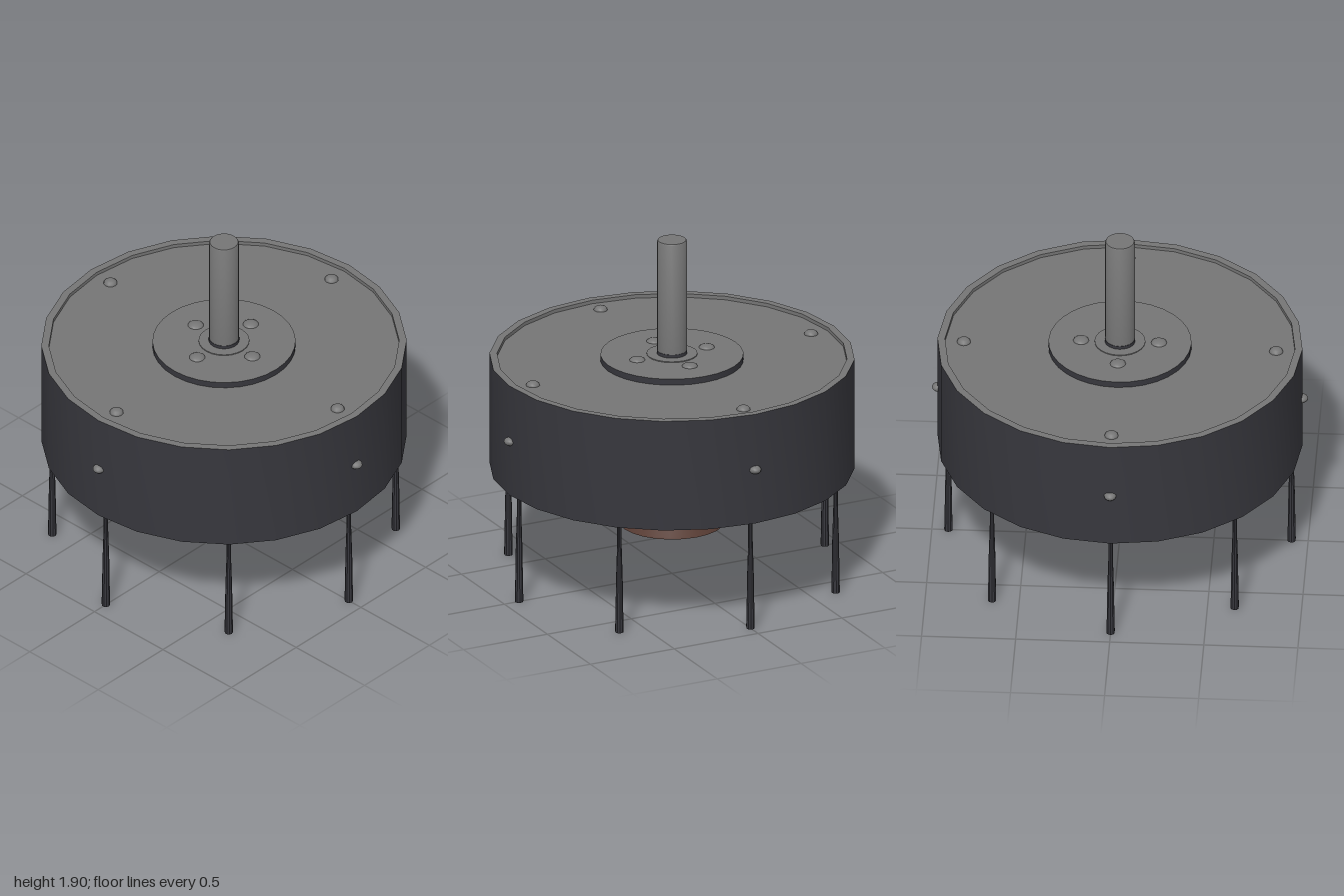
import * as THREE from 'three';
import { toCreasedNormals } from 'three/addons/utils/BufferGeometryUtils.js';

const material = (name, color, side = THREE.FrontSide) => {
  const m = new THREE.MeshStandardMaterial({ color, side });
  m.name = name;
  return m;
};

// Revolve a profile of [radius, y] pairs, outside going upward
const turned = (profile, sides) => toCreasedNormals(
  new THREE.LatheGeometry(profile.map(([r, y]) => new THREE.Vector2(r, y)), sides), 0.6);

export function createModel() {
  const model = new THREE.Group();
  const steel = material('grey steel', 0x757575);
  const dark = material('dark casing', 0x37373d);
  const copper = material('brown nozzle', 0x5d4037, THREE.DoubleSide);

  const add = (name, geometry, mat, parent = model) => {
    const mesh = new THREE.Mesh(geometry, mat);
    mesh.name = name;
    parent.add(mesh);
    return mesh;
  };

  // Drum: dark skin, recessed steel lid, hollow steel underside
  add('drumSkin', turned([[0.93, 0.615], [0.97, 0.615], [0.97, 1.235]], 24), dark);
  add('lid', turned([[0.97, 1.235], [0.93, 1.235], [0.93, 1.215], [0, 1.215]], 24), steel);
  add('underside', turned([[0, 0.79], [0.93, 0.79], [0.93, 0.615]], 24), steel);

  // Hub plate, with a dark edge and a shaft seat
  add('hubEdge', turned([[0.38, 1.21], [0.38, 1.249]], 32), dark);
  add('hubPlate', turned([[0.38, 1.249], [0, 1.249]], 32), steel);
  add('shaftFlange', turned([[0.135, 1.245], [0.135, 1.254], [0, 1.254]], 24), steel);
  add('shaftSeal', turned([[0.081, 1.25], [0.081, 1.272], [0, 1.272]], 24), dark);
  add('shaft', turned([[0.079, 1.27], [0.079, 1.89], [0.075, 1.897], [0, 1.897]], 24), steel);

  // Nozzle hanging from a collar
  add('collarEdge', turned([[0.2, 0.77], [0.22, 0.77], [0.22, 0.8]], 24), dark);
  add('collar', turned([[0, 0.77], [0.2, 0.77]], 24), steel);
  add('nozzle', turned([[0.265, 0.305], [0.272, 0.297], [0.282, 0.3], [0.28, 0.31],
    [0.1, 0.79]], 24), copper);
  add('nozzleLining', turned([[0.088, 0.785], [0.265, 0.305]], 24), copper);

  // Bolts on the lid, hub and drum wall
  const ball = new THREE.SphereGeometry(1, 12, 8);
  for (let i = 0; i < 4; i++) {
    const a = i * Math.PI / 2;
    const bolt = (name, radius, y, sx, sy, sz) => {
      const mesh = add(name, ball, steel);
      mesh.position.set(Math.sin(a) * radius, y, Math.cos(a) * radius);
      mesh.rotation.y = a;
      mesh.scale.set(sx, sy, sz);
    };
    bolt('lidBolt', 0.83, 1.215, 0.037, 0.025, 0.037);
    bolt('hubBolt', 0.207, 1.247, 0.043, 0.02, 0.043);
    bolt('wallBolt', 0.965, 0.92, 0.033, 0.023, 0.035);
  }

  // Eight tapered legs in sockets under the drum
  const legShape = turned([[0, 0], [0.022, 0], [0.023, 0.01], [0.021, 0.1],
    [0.018, 0.3], [0.012, 0.5], [0.012, 0.64]], 10);
  const socketShape = turned([[0, 0.62], [0.038, 0.62], [0.038, 0.79]], 10);
  for (let i = 0; i < 8; i++) {
    const a = i * Math.PI / 4;
    const leg = new THREE.Group();
    leg.name = 'leg';
    leg.position.set(Math.sin(a) * 0.912, 0, Math.cos(a) * 0.912);
    add('legRod', legShape, dark, leg);
    add('legSocket', socketShape, dark, leg);
    model.add(leg);
  }
  return model;
}
